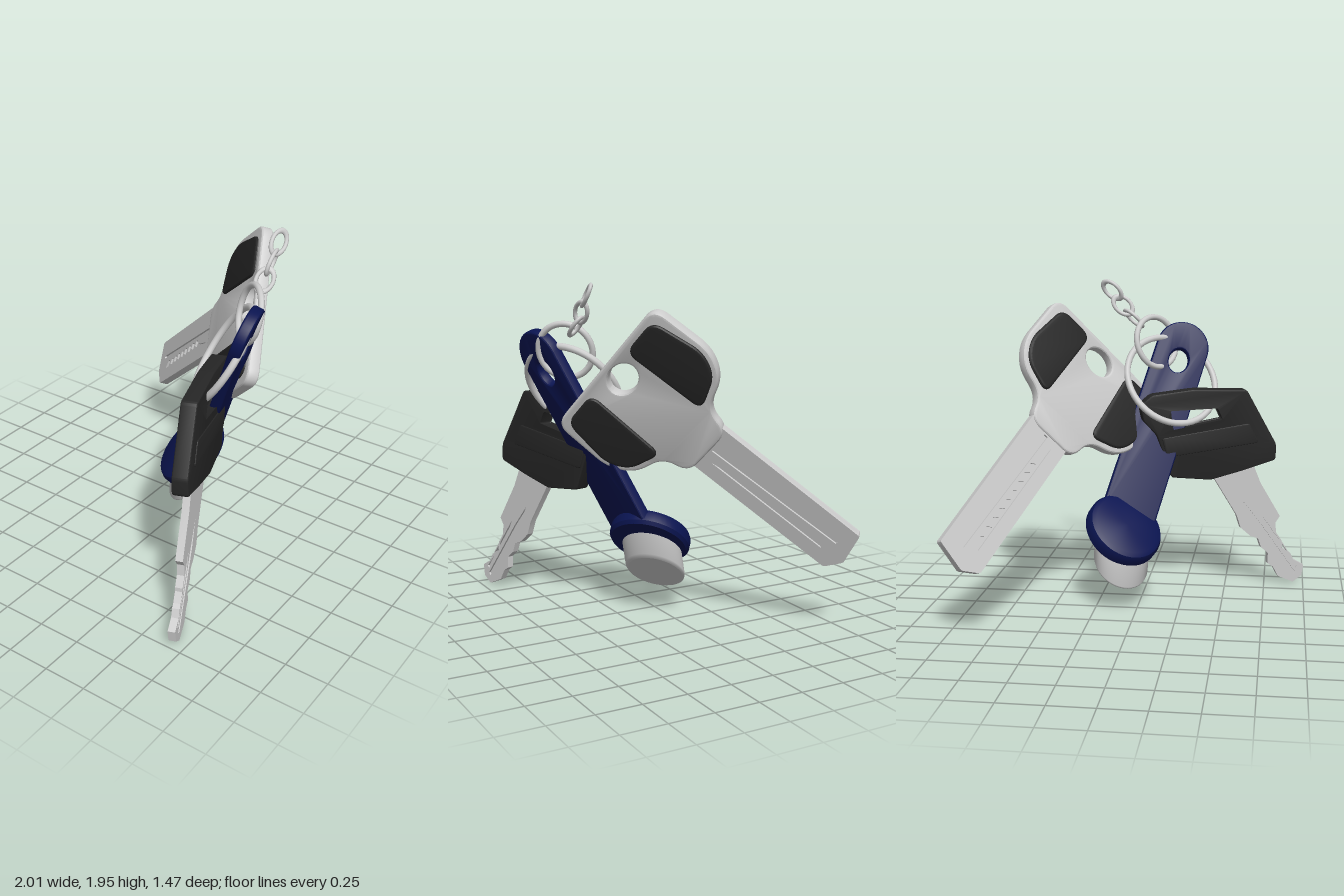
import * as THREE from 'three';
import { toCreasedNormals } from 'three/addons/utils/BufferGeometryUtils.js';

const V = (x, y, z) => new THREE.Vector3(x, y, z);
const mat = (color) => new THREE.MeshStandardMaterial({ color, side: THREE.DoubleSide });
const steel = mat(0xcccccc), black = mat(0x262626), blue = mat(0x0a1450);

function add(parent, name, geometry, material) {
  const mesh = new THREE.Mesh(geometry, material);
  mesh.name = name;
  parent.add(mesh);
  return mesh;
}

// Group whose local x runs along u and local y lies near v
function frame(name, origin, u, v) {
  const x = u.clone().normalize();
  const z = x.clone().cross(v).normalize();
  const g = new THREE.Group();
  g.name = name;
  g.applyMatrix4(new THREE.Matrix4().makeBasis(x, z.clone().cross(x), z).setPosition(origin));
  return g;
}

// Closed polygon with corners rounded by r
function outline(pts, r = 0, Type = THREE.Shape) {
  const p = pts.map(([x, y]) => new THREE.Vector2(x, y));
  const s = new Type();
  p.forEach((c, i) => {
    const toward = (q) => c.clone().lerp(q, Math.min(r / c.distanceTo(q), 0.48));
    const a = toward(p.at(i - 1)), b = toward(p[(i + 1) % p.length]);
    if (i === 0) s.moveTo(a.x, a.y); else s.lineTo(a.x, a.y);
    if (r > 0) s.quadraticCurveTo(c.x, c.y, b.x, b.y);
  });
  s.closePath();
  return s;
}

// Plate centred on z = 0, with a bevel kept inside the outline
function plate(shape, thickness, bevel = 0) {
  const depth = thickness - 2 * bevel;
  const g = new THREE.ExtrudeGeometry(shape, {
    depth, bevelEnabled: bevel > 0, bevelThickness: bevel, bevelSize: bevel,
    bevelOffset: -bevel, bevelSegments: 3, curveSegments: 12,
  });
  g.translate(0, 0, -depth / 2);
  return toCreasedNormals(g, 0.4);
}

const hole = (x, y, rx, ry) => new THREE.Path().absellipse(x, y, rx, ry, 0, Math.PI * 2);

// Torus facing n, stretched along its own x
function ring(parent, name, center, n, r, tube, along, stretch = 1) {
  const g = new THREE.TorusGeometry(r, tube, 10, 48);
  g.scale(stretch, 1, 1);
  const z = n.clone().normalize();
  const y = z.clone().cross(along).normalize();
  g.applyMatrix4(new THREE.Matrix4().makeBasis(y.clone().cross(z), y, z).setPosition(center));
  add(parent, name, g, steel);
}

function bigKey() {
  const key = frame('largeKey', V(0.35, 1.35, 0.25), V(0.38, -0.625, -0.67), V(0.62, 0.735, -0.28));

  // Bow, mirrored about its own middle line
  const half = [[-0.265, 0.475], [0.11, 0.49], [0.25, 0.4], [0.31, 0.21], [0.47, 0.175]];
  const mid = -0.022;
  const bow = outline([...half.map(([x, y]) => [x, mid + y]),
    ...half.map(([x, y]) => [x, mid - y]).reverse()], 0.085);
  bow.holes.push(hole(-0.145, 0.005, 0.08, 0.1));
  add(key, 'largeKeyBow', plate(bow, 0.074, 0.016), steel);

  // Grip pads showing on both faces
  const pad = [[-0.225, 0.17], [-0.225, 0.415], [0.08, 0.465], [0.21, 0.4], [0.285, 0.19]];
  for (const s of [1, -1]) {
    const shape = outline(pad.map(([x, y]) => [x, mid + y * s]), 0.07);
    add(key, 'gripPad', plate(shape, 0.104, 0.018), black);
  }

  // Blade: grooved outer plate over a thin core
  const edge = [[0.38, -0.145], [1.39, -0.13], [1.45, -0.03], [1.4, 0.165], [0.38, 0.15]];
  const blade = outline(edge, 0.012);
  blade.holes.push(outline([[0.48, 0.0], [1.34, 0.035], [1.34, 0.052], [0.48, 0.025]], 0, THREE.Path));
  const cuts = [[1.3, -0.045], [0.52, -0.06]];
  for (let i = 0; i < 9; i++) {
    const x = 0.66 + i * 0.068;
    cuts.push([x, -0.035], [x + 0.02, -0.005], [x + 0.045, -0.005]);
  }
  blade.holes.push(outline(cuts, 0, THREE.Path));
  add(key, 'largeKeyBlade', plate(blade, 0.052), steel);
  add(key, 'largeKeyCore', plate(outline(edge, 0.02), 0.026), steel);
  return key;
}

function smallKey() {
  const c = 0.95;
  const key = frame('smallKey', V(0, 0, 0.365), V(c, 0, -0.315), V(0, 1, -0.03));
  const P = (pts) => pts.map(([x, y]) => [x / c, y]);

  // Looped plastic head
  const head = outline(P([[-0.6, 1.28], [-0.28, 1.29], [-0.03, 1.26], [0.04, 1.2], [0.02, 1.1], [-0.06, 1.01],
    [-0.15, 0.74], [-0.39, 0.715], [-0.58, 0.765], [-0.79, 0.83], [-0.79, 0.93]]), 0.02);
  head.holes.push(outline(P([[-0.43, 1.18], [-0.13, 1.17], [-0.15, 1.03], [-0.47, 1.09]]), 0.02, THREE.Path));
  add(key, 'smallKeyHead', plate(head, 0.092, 0.01), black);
  const panel = outline(P([[-0.62, 1.07], [-0.09, 0.99], [-0.12, 0.87], [-0.68, 0.945]]), 0.02);
  add(key, 'headPanel', plate(panel, 0.104, 0.006), black);

  // Toothed blade with a long groove
  const edge = P([[-0.64, 0.84], [-0.706, 0.676], [-0.834, 0.452], [-0.807, 0.41], [-0.813, 0.345],
    [-0.85, 0.29], [-0.855, 0.238], [-0.91, 0.2], [-0.93, 0.155], [-0.995, 0.115], [-0.984, 0.045],
    [-0.93, 0.005], [-0.834, 0.05], [-0.8, 0.115], [-0.765, 0.14], [-0.765, 0.21], [-0.72, 0.25],
    [-0.7, 0.31], [-0.65, 0.33], [-0.588, 0.388], [-0.561, 0.473], [-0.37, 0.8]]);
  const blade = outline(edge);
  blade.holes.push(
    outline(P([[-0.6, 0.56], [-0.67, 0.42], [-0.93, 0.055], [-0.945, 0.07], [-0.7, 0.43]]), 0, THREE.Path),
    outline(P([[-0.73, 0.45], [-0.77, 0.35], [-0.945, 0.1], [-0.955, 0.115], [-0.79, 0.36]]), 0, THREE.Path));
  add(key, 'smallKeyBlade', plate(blade, 0.042), steel);
  add(key, 'smallKeyCore', plate(outline(edge), 0.018), steel);
  return key;
}

function fob() {
  const group = new THREE.Group();
  group.name = 'fob';
  const eye = V(-0.185, 1.44, 0.575), joint = V(0.06, 0.58, 0.2);
  const across = V(0.874, 0.388, -0.291).normalize();

  // Flat strap with a rounded, pierced end
  const strap = frame('fobStrap', eye, joint.clone().sub(eye), V(0.93, 0.3, -0.14));
  const s = new THREE.Shape();
  s.moveTo(1.02, -0.165);
  s.lineTo(-0.09, -0.165);
  s.absarc(-0.09, 0, 0.165, -Math.PI / 2, Math.PI / 2, true);
  s.lineTo(1.02, 0.175);
  s.closePath();
  s.holes.push(hole(0, 0, 0.078, 0.062));
  add(strap, 'strap', plate(s, 0.066, 0.014), blue);
  group.add(strap);

  // Disc bent forward from the strap
  const center = V(0.09, 0.47, 0.075), face = V(0.107, 0.255, 0.05);
  const normal = V(0.003, -0.584, -0.811).cross(across).normalize();
  const down = across.clone().cross(normal);
  const lathe = (pts, axis) => toCreasedNormals(
    new THREE.LatheGeometry(pts.map(([x, y]) => new THREE.Vector2(x, y)), 48), 0.6)
    .applyMatrix4(new THREE.Matrix4().makeBasis(across, axis, down).setPosition(center));
  add(group, 'fobDisc', lathe([[0, -0.055], [0.2, -0.055], [0.225, -0.042], [0.237, -0.018],
    [0.237, 0.03], [0.222, 0.05], [0, 0.05]], normal), blue);

  // Metal contact cylinder hanging from the disc
  add(group, 'contactCylinder', lathe([[0, 0], [0.178, 0], [0.178, 0.92], [0.172, 0.98], [0.163, 1], [0, 1]],
    face.clone().sub(center)), steel);
  return group;
}

export function createModel() {
  const model = new THREE.Group();
  model.name = 'keyBunch';
  model.add(bigKey(), smallKey(), fob());

  // Main ring and the smaller ring through the fob
  ring(model, 'mainRing', V(-0.16, 1.34, 0.44), V(0.46, -0.53, 0.71), 0.295, 0.02, V(1, 0, 0));
  ring(model, 'smallRing', V(-0.053, 1.565, 0.535), V(0.72, -0.25, 0.65), 0.158, 0.018, V(0, 1, 0));

  // Chain links turned alternately about the chain direction
  const dir = V(0.75, 0.66, 0).normalize(), side = V(-0.66, 0.75, 0).normalize();
  [[0.09, 1.71, 1.05], [0.158, 1.79, -0.3], [0.225, 1.883, 0.5]].forEach(([x, y, turn]) => {
    const n = side.clone().multiplyScalar(Math.sin(turn)).add(V(0, 0, Math.cos(turn)));
    ring(model, 'chainLink', V(x, y, 0.535), n, 0.046, 0.0115, dir, 1.5);
  });
  return model;
}
